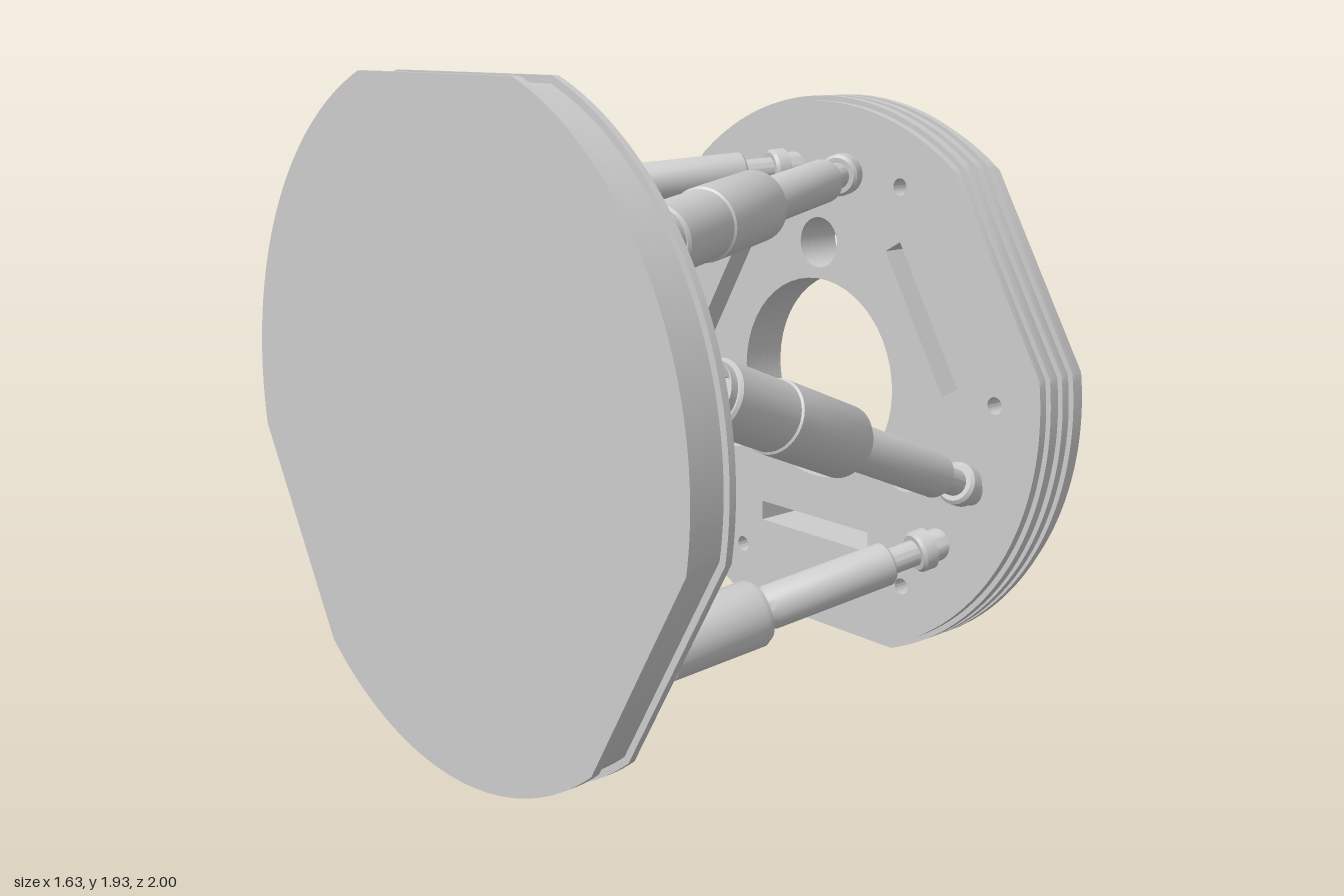
import * as THREE from 'three';
import { toCreasedNormals } from 'three/addons/utils/BufferGeometryUtils.js';

const mat = new THREE.MeshStandardMaterial({ color: 0xcccccc });
const rad = THREE.MathUtils.degToRad;

function mesh(name, geo, parent) {
  const m = new THREE.Mesh(toCreasedNormals(geo, 0.6), mat);
  m.name = name;
  parent.add(m);
  return m;
}

// disc outline with three flats, the first facing the angle "dir"
function outline(R, flat, dir) {
  const s = new THREE.Shape();
  const h = Math.acos(flat / R);
  for (let k = 0; k < 3; k++) {
    const a = rad(dir + 120 * k);
    s.absarc(0, 0, R, a + h, a + rad(120) - h, false);
  }
  s.closePath();
  return s;
}

function circle(dist, deg, r) {
  const p = new THREE.Path();
  p.absarc(dist * Math.cos(rad(deg)), dist * Math.sin(rad(deg)), r, 0, Math.PI * 2, true);
  return p;
}

function polygon(points, deg) {
  const c = new THREE.Vector2();
  return new THREE.Path(points.map(([x, y]) =>
    new THREE.Vector2(x, y).rotateAround(c, rad(deg))));
}

// cut-outs shared by both plates; "dir" is the angle of the first flat
function cutouts(dir, k) {
  const turns = [0, 120, 240];
  const slots = turns.map(t => polygon(
    [[0.465 * k, -0.24 * k], [0.53 * k, -0.24 * k], [0.53 * k, 0.24 * k], [0.465 * k, 0.24 * k]], dir + t));
  const bolts = [0, 1, 2, 3, 4, 5].map(i => circle(0.72 * k, i * 60 - 2.5, 0.026));
  const triangle = [];
  for (const t of turns) {
    for (const s of [-1, 1]) {
      const p = new THREE.Vector2(0.57 * k, s * 0.121 * k)
        .rotateAround(new THREE.Vector2(), rad(dir + 60 + t));
      triangle.push([p.x, p.y]);
    }
  }
  return {
    rim: [...slots, ...bolts],
    triangle: [polygon(triangle, 0)],
    centre: [circle(0, 0, 0.325), ...turns.map(t => circle(0.44 * k, dir + 60 + t, 0.08))],
    seats: turns.flatMap(t => [-10, 10].map(o => circle(0.68, dir + 60 + t + o, 0.077))),
  };
}

// stack of slabs along x: [x0, x1, radius, flat distance, holes]
function plate(name, y, dir, layers, parent) {
  const g = new THREE.Group();
  g.name = name;
  g.position.y = y;
  for (const [x0, x1, R, flat, holes] of layers) {
    const s = outline(R, flat, dir);
    s.holes.push(...holes);
    const geo = new THREE.ExtrudeGeometry(s, { depth: x1 - x0, bevelEnabled: false, curveSegments: 24 });
    geo.rotateY(Math.PI / 2).translate(x0, 0, 0);
    mesh(name + 'Layer', geo, g);
  }
  parent.add(g);
}

function cylinder(name, r, y0, y1, parent) {
  return mesh(name, new THREE.CylinderGeometry(r, r, y1 - y0, 32).translate(0, (y0 + y1) / 2, 0), parent);
}

// telescopic leg running from a to b; n is the axis of its joint pin
function leg(a, b, n, parent) {
  const g = new THREE.Group();
  g.name = 'leg';
  const L = a.distanceTo(b);
  const Y = b.clone().sub(a).normalize();
  const X = n.clone().addScaledVector(Y, -n.dot(Y)).normalize();
  const Z = X.clone().cross(Y);
  g.quaternion.setFromRotationMatrix(new THREE.Matrix4().makeBasis(X, Y, Z));
  g.position.copy(a);

  // forked universal joint
  cylinder('forkRoot', 0.088, -0.05, 0.045, g);
  const r = 0.088, h = Math.acos(0.042 / r);
  for (const turn of [0, Math.PI]) {
    const s = new THREE.Shape();
    s.absarc(0, 0, r, turn - h, turn + h, false);
    s.closePath();
    mesh('forkProng', new THREE.ExtrudeGeometry(s, { depth: 0.115, bevelEnabled: false })
      .rotateX(-Math.PI / 2).translate(0, 0.04, 0), g);
  }
  mesh('jointDisc', new THREE.CylinderGeometry(0.06, 0.06, 0.066, 32)
    .rotateZ(Math.PI / 2).translate(0, 0.108, 0), g);
  mesh('jointPin', new THREE.CylinderGeometry(0.028, 0.028, 0.172, 24)
    .rotateZ(Math.PI / 2).translate(0, 0.108, 0), g);
  cylinder('jointNeck', 0.04, 0.11, 0.2, g);
  cylinder('jointCollar', 0.085, 0.165, 0.19, g);

  // housing, piston and rod in one turned profile
  const profile = [
    [0, 0.137], [0.088, 0.137], [0.095, 0.143], [0.095, 0.31], [0.101, 0.313], [0.101, 0.53],
    [0.088, 0.546], [0.06, 0.546], [0.06, 0.56], [0.066, 0.57], [0.066, 0.862], [0.06, 0.868],
    [0.04, 0.868], [0.04, 0.95],
  ].map(([x, t]) => new THREE.Vector2(x, t * L));
  mesh('actuator', new THREE.LatheGeometry(profile, 40), g);

  // ball cup on the moving plate
  const cup = [[0, 0.94], [0.055, 0.94], [0.064, 0.947], [0.064, 0.975], [0.05, 0.98], [0.05, 1.02], [0, 1.02]]
    .map(([x, t]) => new THREE.Vector2(x, t * L));
  mesh('ballCup', new THREE.LatheGeometry(cup, 32), g);
  parent.add(g);
}

export function createModel() {
  const model = new THREE.Group();
  model.name = 'hexapodPlatform';
  const baseY = 1.0, topY = 0.942;

  // fixed base: solid back, grooved edge, recessed inner face
  const b = cutouts(90, 1.1);
  plate('basePlate', baseY, 90, [
    [-0.82, -0.795, 1.0, 0.935, []],
    [-0.795, -0.77, 0.98, 0.915, []],
    [-0.77, -0.72, 0.98, 0.915, [...b.rim, ...b.centre]],
    [-0.72, -0.7, 0.98, 0.915, [...b.rim, ...b.triangle]],
    [-0.7, -0.68, 1.0, 0.935, [...b.rim, ...b.triangle]],
  ], model);

  // moving plate: ribbed edge, open centre, recessed outer face
  const t = cutouts(270, 1);
  const open = [...t.rim, ...t.centre];
  const seated = [...open, ...t.seats];
  const body = [0.882, 0.82], rib = [0.898, 0.836];
  plate('movingPlate', topY, 270, [
    [0.615, 0.642, ...body, open],
    [0.642, 0.672, ...rib, open],
    [0.672, 0.698, ...body, open],
    [0.698, 0.724, ...rib, open],
    [0.724, 0.749, ...body, seated],
    [0.749, 0.775, ...rib, seated],
    [0.775, 0.813, ...body, [...t.rim, ...t.triangle, ...t.seats]],
  ], model);

  // six legs in three mirrored pairs
  const at = (x, y, r, deg) => new THREE.Vector3(x, y + r * Math.sin(rad(deg)), r * Math.cos(rad(deg)));
  for (let k = 0; k < 3; k++) {
    for (const s of [-1, 1]) {
      const mid = 30 + 120 * k;
      leg(at(-0.68, baseY, 0.775, mid + 11.5 * s), at(0.615, topY, 0.68, mid + 50 * s),
        at(0, 0, 1, mid - 60 * s), model);
    }
  }
  return model;
}
